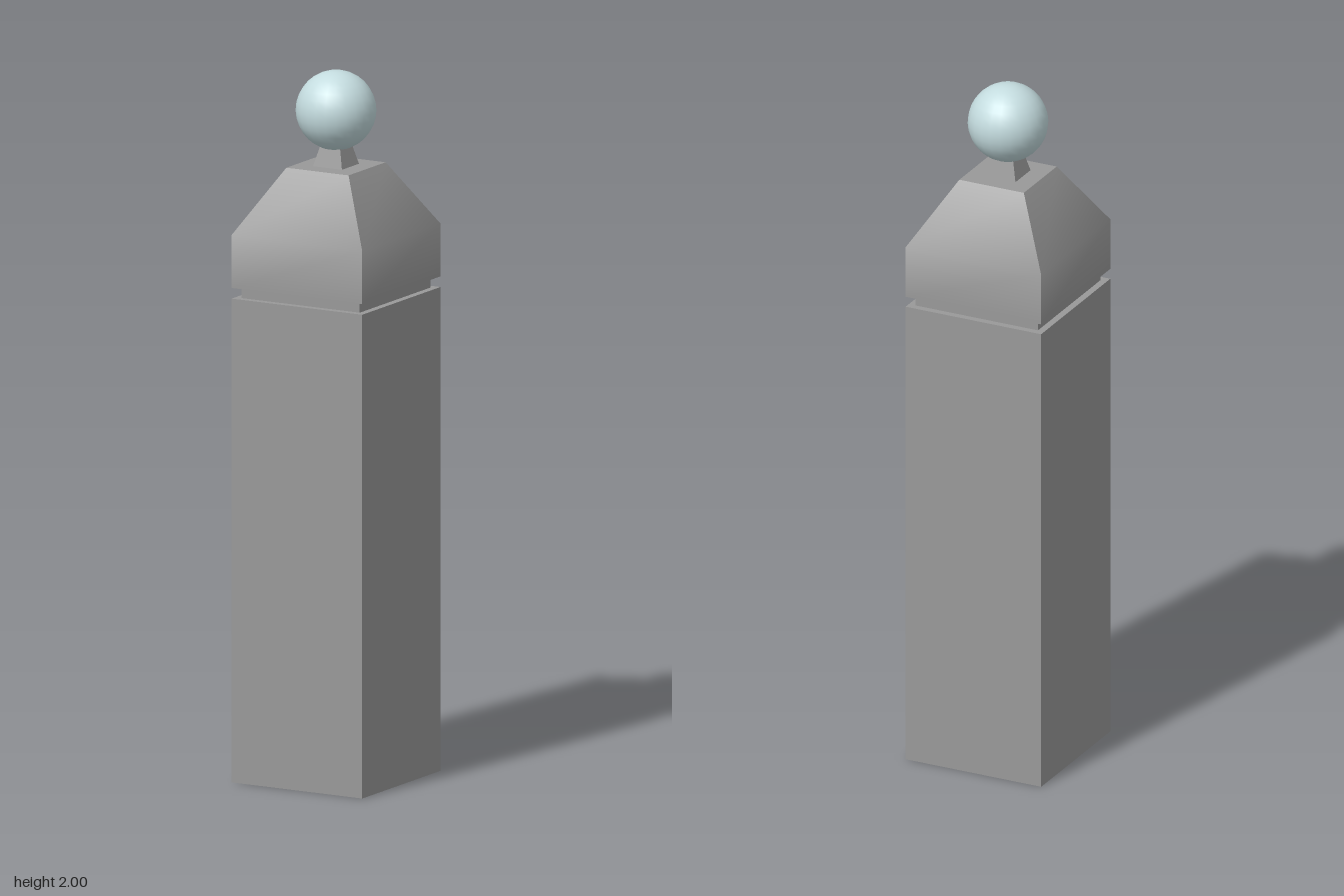
import * as THREE from 'three';

// Square stack: rings are [halfX, halfZ, y] from bottom to top.
// Each side shades smoothly up its height; the four corners stay sharp.
function squareStack(rings) {
  const corners = [[-1, 1], [1, 1], [1, -1], [-1, -1]];
  const pos = [], index = [];
  const point = ([hx, hz, y], k) => pos.push(corners[k % 4][0] * hx, y, corners[k % 4][1] * hz);
  for (let s = 0; s < 4; s++) {
    const base = pos.length / 3;
    rings.forEach((r) => { point(r, s); point(r, s + 1); });
    for (let i = 0; i < rings.length - 1; i++) {
      const a = base + i * 2;
      index.push(a, a + 1, a + 3, a, a + 3, a + 2);
    }
  }
  // Flat top and bottom
  const top = pos.length / 3;
  for (let k = 0; k < 4; k++) point(rings[rings.length - 1], k);
  index.push(top, top + 1, top + 2, top, top + 2, top + 3);
  for (let k = 0; k < 4; k++) point(rings[0], k);
  index.push(top + 4, top + 6, top + 5, top + 4, top + 7, top + 6);

  const geo = new THREE.BufferGeometry();
  geo.setAttribute('position', new THREE.Float32BufferAttribute(pos, 3));
  geo.setIndex(index);
  geo.computeVertexNormals();
  return geo;
}

export function createModel() {
  const group = new THREE.Group();
  group.name = 'bollard';
  const stone = new THREE.MeshStandardMaterial({ color: 0x999999 });
  stone.name = 'grey stone';
  const glass = new THREE.MeshStandardMaterial({ color: 0xc4dcdf });
  glass.name = 'pale blue';

  const add = (name, geo, mat) => {
    const mesh = new THREE.Mesh(geo, mat);
    mesh.name = name;
    group.add(mesh);
    return mesh;
  };

  // Post, recessed groove, tapered cap and small neck
  add('shaft', squareStack([[0.21, 0.213, 0], [0.21, 0.213, 1.37]]), stone);
  add('groove', squareStack([[0.19, 0.193, 1.365], [0.19, 0.193, 1.405]]), stone);
  add('cap', squareStack([[0.21, 0.213, 1.4], [0.21, 0.213, 1.55], [0.1, 0.101, 1.732]]), stone);
  add('neck', squareStack([[0.047, 0.047, 1.73], [0.029, 0.029, 1.8]]), stone);

  // Ball finial
  add('ball', new THREE.SphereGeometry(0.112, 24, 16), glass).position.y = 1.888;

  return group;
}
